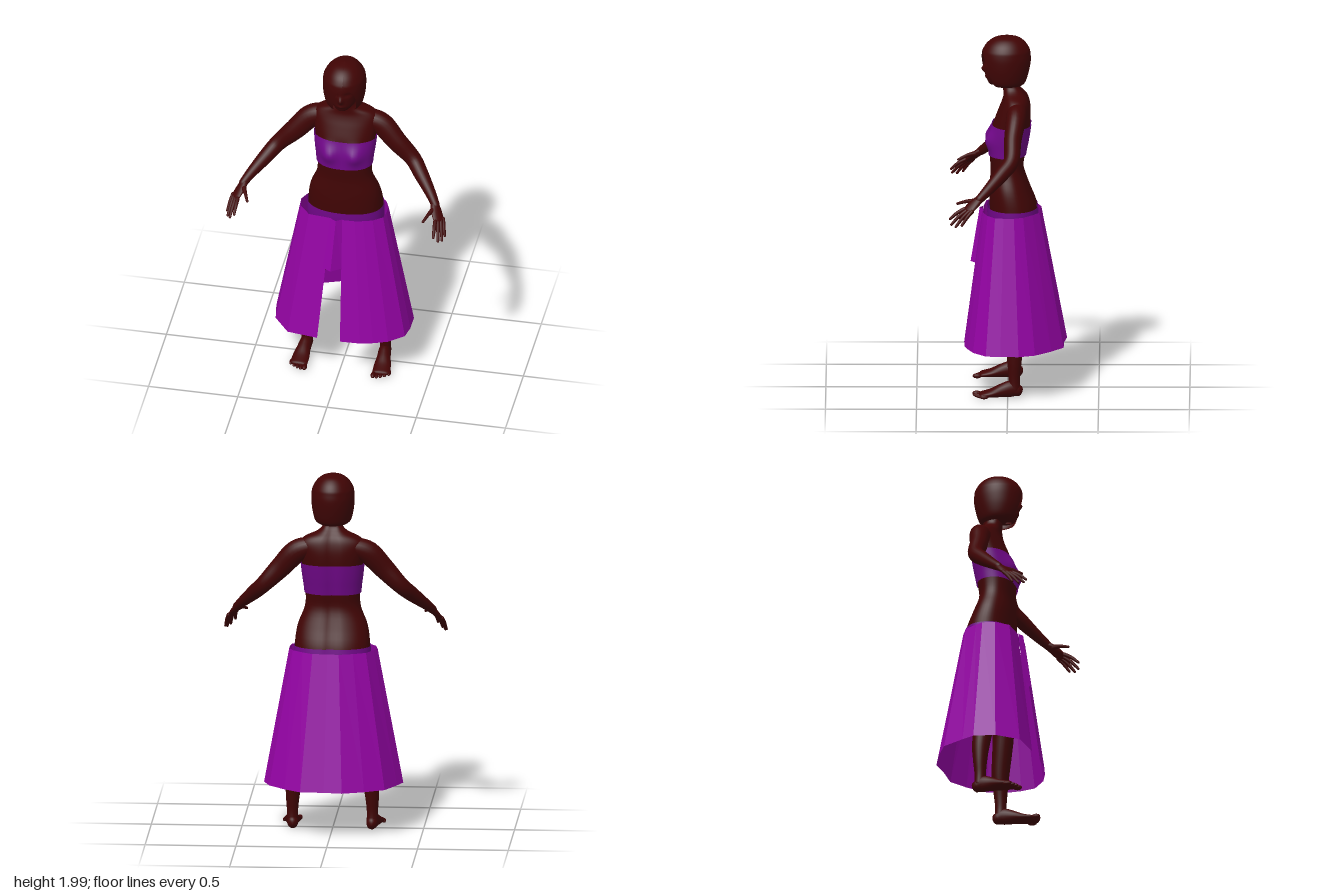
import * as THREE from 'three';

const material = (name, color) => {
  const m = new THREE.MeshStandardMaterial({ color, side: THREE.DoubleSide });
  m.name = name;
  return m;
};
const skin = material('skin', 0x400404);
const cloth = material('purpleCloth', 0x9403a4);
const darkCloth = material('darkPurpleCloth', 0x700788);
const V = (x, y, z) => new THREE.Vector3(x, y, z);

// Joins rings of points into one surface
function skinRings(rings, closed = true) {
  const n = rings[0].length, index = [];
  for (let j = 0; j < rings.length - 1; j++) {
    for (let i = 0; i < (closed ? n : n - 1); i++) {
      const a = j * n + i, b = j * n + (i + 1) % n;
      index.push(a, b, a + n, b, b + n, a + n);
    }
  }
  const geo = new THREE.BufferGeometry().setFromPoints(rings.flat());
  geo.setIndex(index);
  geo.computeVertexNormals();
  return geo;
}

// Smoothly resamples a table of rows
function resample(rows, per) {
  const curves = rows[0].map((_, c) => new THREE.SplineCurve(rows.map((r, i) => new THREE.Vector2(i, r[c]))));
  const count = (rows.length - 1) * per;
  return Array.from({ length: count + 1 }, (_, i) => curves.map(k => k.getPoint(i / count).y));
}

// Upright loft; rows are [y, half width, front z, back z, arc start, arc end]
function loft(rows, { n = 40, per = 4, power = 1, rule = null } = {}) {
  const open = rows[0].length > 4;
  const rings = resample(rows, per).map(([y, w, f, b, a0 = 0, a1 = 360]) => {
    const mid = (f + b) / 2, d = (f - b) / 2;
    return Array.from({ length: n }, (_, i) => {
      const a = THREE.MathUtils.degToRad(a0 + (a1 - a0) * i / (open ? n - 1 : n));
      const s = Math.sin(a), c = Math.cos(a);
      const p = V(w * Math.sign(s) * Math.abs(s) ** power, y, mid + d * Math.sign(c) * Math.abs(c) ** power);
      if (rule) p.z += rule(p, c);
      return p;
    });
  });
  return skinRings(rings, !open);
}

// Limb along a path with rounded ends; rows are [x, y, z, radius along ref, other radius]
function limb(rows, side, ref, n = 16, per = 5) {
  const list = resample(rows.map(r => [r[0] * side, ...r.slice(1)]), per);
  const at = i => V(...list[Math.max(0, Math.min(list.length - 1, i))]);
  const ring = (i, shift, scale) => {
    const [, , , ru, rv = ru] = list[i];
    const t = at(i + 1).sub(at(i - 1)).normalize();
    const r = V(ref.x * side, ref.y, ref.z);
    const u = r.addScaledVector(t, -r.dot(t)).normalize();
    const v = t.clone().cross(u);
    const c = at(i).addScaledVector(t, shift * Math.min(ru, rv));
    return Array.from({ length: n }, (_, k) => {
      const a = k / n * Math.PI * 2;
      return c.clone().addScaledVector(u, Math.cos(a) * ru * scale).addScaledVector(v, Math.sin(a) * rv * scale);
    });
  };
  const last = list.length - 1;
  const cap = [[0.5, 0.85], [0.8, 0.5], [0.9, 0.01]];
  return skinRings([
    ...cap.slice().reverse().map(([d, s]) => ring(0, -d, s)),
    ...list.map((_, i) => ring(i, 0, 1)),
    ...cap.map(([d, s]) => ring(last, d, s)),
  ]);
}

const bump = (dx, dy, sx, sy) => Math.exp(-((dx / sx) ** 2) - (dy / sy) ** 2);

// Bust at the front, spine groove at the back
const torsoRule = (p, c) => c > 0
  ? 0.034 * c * bump(Math.abs(p.x) - 0.078, p.y - 1.42, 0.045, 0.05)
  : 0.011 * bump(p.x, 0, 0.03, 1);

// Nose, lips and eye sockets
const faceRule = (p, c) => c < 0 ? 0
  : 0.02 * bump(p.x, p.y - 1.812, 0.012, 0.02) + 0.007 * bump(p.x, p.y - 1.768, 0.022, 0.009)
  - 0.009 * bump(Math.abs(p.x) - 0.036, p.y - 1.848, 0.02, 0.012);

export function createModel() {
  const model = new THREE.Group();
  const add = (name, geo, mat, parent = model) => {
    const mesh = new THREE.Mesh(geo, mat);
    mesh.name = name;
    parent.add(mesh);
    return mesh;
  };

  // Torso and neck
  add('torso', loft([
    [0.84, 0.12, 0.06, -0.1], [0.92, 0.2, 0.09, -0.168], [1.04, 0.207, 0.1, -0.163], [1.15, 0.193, 0.1, -0.122],
    [1.25, 0.155, 0.095, -0.09], [1.33, 0.15, 0.1, -0.097], [1.42, 0.16, 0.094, -0.112], [1.5, 0.168, 0.08, -0.125],
    [1.57, 0.18, 0.055, -0.128], [1.62, 0.182, 0.035, -0.122], [1.655, 0.152, 0.025, -0.11],
    [1.685, 0.085, 0.025, -0.09], [1.72, 0.053, 0.03, -0.07], [1.79, 0.052, 0.04, -0.07],
  ], { n: 56, power: 0.9, rule: torsoRule }), skin);

  // Strapless top
  add('bandeau', loft([
    [1.335, 0.157, 0.107, -0.104], [1.378, 0.161, 0.105, -0.112], [1.42, 0.167, 0.102, -0.12],
    [1.463, 0.172, 0.096, -0.127], [1.505, 0.176, 0.087, -0.133],
  ], { n: 56, power: 0.9, rule: torsoRule }), darkCloth);

  // Head and bob hair, open over the face
  add('head', loft([
    [1.722, 0.012, 0.085, 0.05], [1.73, 0.04, 0.103, -0.02], [1.76, 0.068, 0.117, -0.06], [1.8, 0.084, 0.124, -0.09],
    [1.86, 0.092, 0.128, -0.1], [1.92, 0.086, 0.115, -0.095], [1.97, 0.05, 0.07, -0.06], [1.985, 0.005, 0.01, 0],
  ], { n: 72, per: 8, rule: faceRule }), skin);
  add('hair', loft([
    [1.72, 0.075, 0.09, -0.078, 52, 322], [1.74, 0.099, 0.117, -0.097, 50, 332], [1.8, 0.114, 0.138, -0.116, 46, 341],
    [1.86, 0.119, 0.145, -0.126, 36, 350], [1.9, 0.117, 0.143, -0.124, 18, 360], [1.925, 0.111, 0.136, -0.119, 8, 368],
    [1.96, 0.09, 0.112, -0.097, 8, 368], [1.988, 0.055, 0.07, -0.06, 8, 368], [2, 0.002, 0.01, 0.005, 8, 368],
  ], { n: 56 }), skin);

  for (const [side, label] of [[1, 'left'], [-1, 'right']]) {
    // Arm
    const arm = new THREE.Group();
    arm.name = label + 'Arm';
    model.add(arm);
    add('armLimb', limb([
      [0.12, 1.6, -0.05, 0.055, 0.055], [0.2, 1.567, -0.045, 0.055, 0.064], [0.285, 1.475, -0.028, 0.048, 0.058],
      [0.375, 1.38, -0.02, 0.043, 0.046], [0.432, 1.32, 0.032, 0.04, 0.041], [0.5, 1.25, 0.105, 0.03, 0.03],
      [0.54, 1.205, 0.155, 0.023, 0.023],
    ], side, V(0, 0, 1), 24), skin, arm);

    // Hand, fingers and thumb
    const across = V(-0.63, 0.1, 0.77);
    add('palm', limb([
      [0.532, 1.212, 0.145, 0.023, 0.02], [0.548, 1.185, 0.18, 0.033, 0.017], [0.57, 1.15, 0.217, 0.034, 0.012],
    ], side, across), skin, arm);
    const fingers = [
      [[0.588, 1.15, 0.193], [0.609, 1.075, 0.25]], [[0.58, 1.148, 0.211], [0.6, 1.066, 0.283]],
      [[0.568, 1.148, 0.227], [0.583, 1.074, 0.308]], [[0.553, 1.156, 0.235], [0.558, 1.1, 0.315]],
      [[0.534, 1.195, 0.175], [0.492, 1.17, 0.275]],
    ];
    fingers.forEach(([a, b], i) => {
      const mid = a.map((v, k) => (v + b[k]) / 2);
      mid[1] += 0.006;
      add(i < 4 ? 'finger' : 'thumb', limb(
        [[...a, i < 4 ? 0.011 : 0.016], [...mid, 0.01], [...b, 0.007]], side, across, 10, 4), skin, arm);
    });

    // Leg, foot and toes
    const leg = new THREE.Group();
    leg.name = label + 'Leg';
    model.add(leg);
    add('legLimb', limb([
      [0.1, 0.94, -0.03, 0.095], [0.15, 0.75, -0.02, 0.074], [0.175, 0.55, -0.01, 0.06], [0.19, 0.43, -0.02, 0.055],
      [0.208, 0.3, -0.035, 0.049], [0.218, 0.2, -0.037, 0.039], [0.22, 0.11, -0.036, 0.031], [0.22, 0.05, -0.038, 0.032],
    ], side, V(0, 0, 1), 24), skin, leg);
    add('foot', limb([
      [0.218, 0.042, -0.055, 0.03, 0.034], [0.22, 0.052, -0.02, 0.034, 0.046], [0.224, 0.044, 0.03, 0.038, 0.038],
      [0.228, 0.03, 0.09, 0.047, 0.024], [0.23, 0.022, 0.145, 0.048, 0.015],
    ], side, V(1, 0, 0), 20), skin, leg);
    for (let i = 0; i < 5; i++) {
      const toe = add('toe', new THREE.SphereGeometry(1, 12, 8), skin, leg);
      const r = i ? 0.0105 : 0.014;
      toe.scale.set(r, r, 0.025);
      toe.position.set(side * (0.192 + i * 0.0205), r + 0.006, 0.17 - i * i * 0.0025);
    }
  }

  // Waistband hugging the hips
  add('waistband', loft([
    [0.9, 0.206, 0.1, -0.174], [0.97, 0.213, 0.112, -0.174], [1.043, 0.212, 0.114, -0.167],
  ], { n: 48, power: 0.88, rule: (p, c) => c < 0 ? 0.011 * bump(p.x, 0, 0.03, 1) : 0 }), darkCloth);

  // Flared skirt of flat panels, slit at the front
  const hem = [
    [0.02, 0.24], [0.13, 0.237], [0.2, 0.22], [0.28, 0.19], [0.36, 0.12], [0.375, 0.04], [0.375, -0.06],
    [0.34, -0.15], [0.25, -0.24], [0.16, -0.307], [0.03, -0.31], [-0.07, -0.325], [-0.19, -0.28], [-0.3, -0.22],
    [-0.36, -0.1], [-0.39, -0.03], [-0.37, 0.09], [-0.28, 0.205], [-0.11, 0.23],
  ];
  const flat = rings => {
    const geo = skinRings(rings, false).toNonIndexed();
    geo.computeVertexNormals();
    return geo;
  };
  add('skirt', flat([
    hem.map(([x, z]) => V(x, 0.27, z)),
    hem.map(([x, z], i) => V(x * (i === hem.length - 1 ? 0.45 : 0.635), 1.02, z * (z > 0 ? 0.58 : 0.565))),
  ]), cloth);

  // Short folded flap over the slit
  add('frontFlap', flat([
    [V(-0.088, 0.71, 0.178), V(-0.04, 0.71, 0.205), V(0.014, 0.71, 0.165)],
    [V(-0.054, 1.02, 0.136), V(-0.02, 1.02, 0.155), V(0.013, 1.02, 0.134)],
  ]), cloth);

  return model;
}
